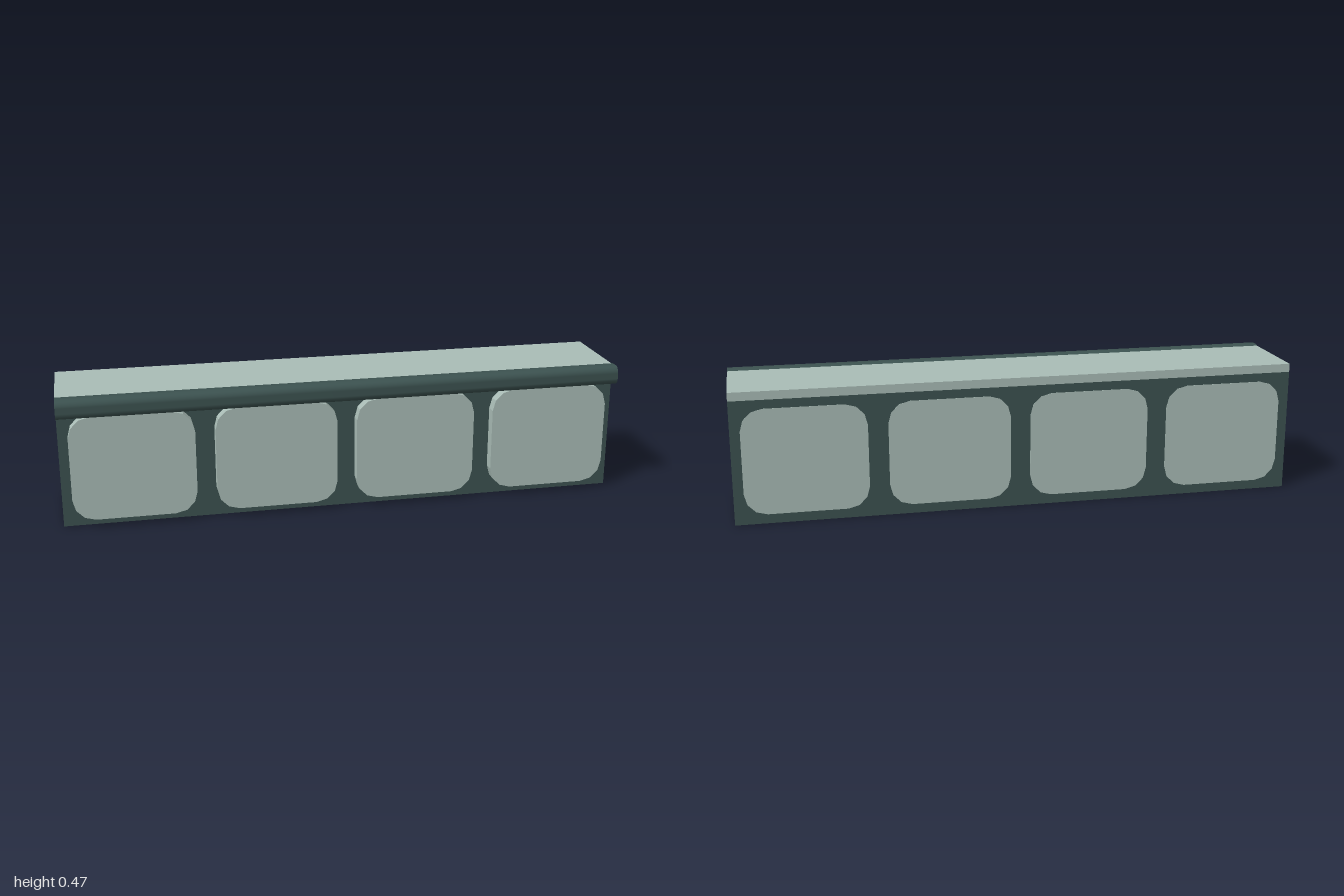
import * as THREE from 'three';
import { toCreasedNormals } from 'three/addons/utils/BufferGeometryUtils.js';

const UNIT_WIDTH = 0.5;
const BACK = -0.185;

// Rounded rectangle centred on the origin, with a fixed number of sides per corner
function roundedRect(width, height, radius, steps) {
  const points = [];
  const corners = [[1, 1], [-1, 1], [-1, -1], [1, -1]];
  corners.forEach(([sx, sy], i) => {
    for (let k = 0; k <= steps; k++) {
      const a = (i + k / steps) * Math.PI / 2;
      points.push(new THREE.Vector2(
        sx * (width / 2 - radius) + radius * Math.cos(a),
        sy * (height / 2 - radius) + radius * Math.sin(a)));
    }
  });
  return points;
}

export function createModel() {
  const model = new THREE.Group();
  model.name = 'cabinetRow';
  const dark = new THREE.MeshStandardMaterial({ color: 0x3c5250 });
  const pale = new THREE.MeshStandardMaterial({ color: 0xa9bcb6 });

  function add(name, geometry, material, x, y, z) {
    const mesh = new THREE.Mesh(geometry, material);
    mesh.name = name;
    mesh.position.set(x, y, z);
    model.add(mesh);
    return mesh;
  }

  // Four cabinets, each with a rounded panel running through its depth
  const cabinet = new THREE.BoxGeometry(UNIT_WIDTH, 0.44, 0.31);
  const panel = new THREE.ExtrudeGeometry(
    new THREE.Shape(roundedRect(0.43, 0.376, 0.077, 3)),
    { depth: 0.351, bevelEnabled: false });
  for (let i = 0; i < 4; i++) {
    const x = (i - 1.5) * UNIT_WIDTH;
    add('cabinet', cabinet, dark, x, 0.22, BACK + 0.155);
    add('doorPanel', panel, pale, x, 0.221, BACK - 0.001);
  }

  // Worktop slab
  add('worktop', new THREE.BoxGeometry(2, 0.03, 0.305), pale, 0, 0.455, BACK + 0.1525);

  // Rounded rail along the front edge, its front face bulging slightly
  const profile = roundedRect(0.073, 0.068, 0.024, 5);
  profile.push(new THREE.Vector2(0.039, 0));
  const rail = toCreasedNormals(new THREE.ExtrudeGeometry(
    new THREE.Shape(profile), { depth: 2, bevelEnabled: false }), 0.8);
  add('frontRail', rail, dark, 1, 0.44, 0.146).rotation.y = -Math.PI / 2;

  return model;
}
